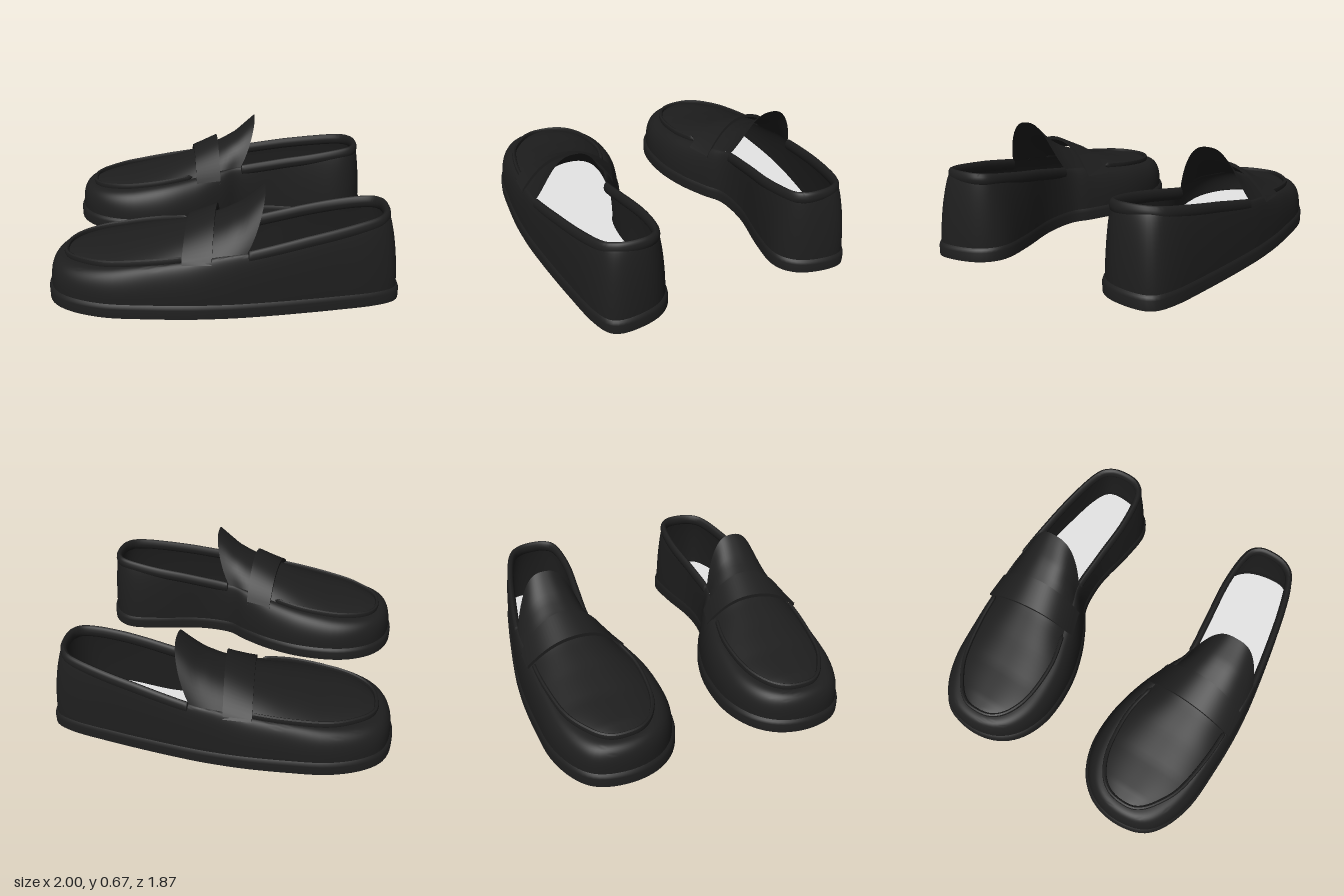
import * as THREE from 'three';
import { toCreasedNormals } from 'three/addons/utils/BufferGeometryUtils.js';

const leather = new THREE.MeshStandardMaterial({ color: 0x1e1e1e, side: THREE.DoubleSide });
leather.name = 'black leather';
const lining = new THREE.MeshStandardMaterial({ color: 0xe6e6e6, side: THREE.DoubleSide });
lining.name = 'pale insole';

// Rows run toe, inner side, heel, outer side: base x, z then rim x, z
const rows = [
  [-1, .54, -.89, .55], [-.957, .365, -.87, .44], [-.84, .238, -.79, .355], [-.65, .167, -.64, .30],
  [-.4, .168, -.4, .29], [-.18, .225, -.18, .34], [0, .31, 0, .39], [.13, .385, .13, .425],
  [.35, .40, .35, .412], [.62, .355, .62, .392], [.83, .343, .83, .41], [.95, .425, .905, .465],
  [1, .58, .92, .565], [.985, .72, .897, .66], [.86, .79, .825, .725], [.62, .84, .62, .785],
  [.35, .885, .35, .835], [.13, .915, .13, .865], [0, .927, 0, .87], [-.18, .935, -.18, .86],
  [-.4, .93, -.4, .845], [-.65, .91, -.64, .80], [-.85, .838, -.79, .72], [-.965, .725, -.87, .64],
];
const loop = i => new THREE.CatmullRomCurve3(rows.map(r => new THREE.Vector3(r[i], 0, r[i + 1])), true, 'catmullrom');
const base = loop(0), rim = loop(2);
const END = 7 / 24; // loop position where the vamp meets the opening

// Interpolates a height table
function at(table, x) {
  for (let i = 1; i < table.length; i++) {
    const [x0, y0] = table[i - 1], [x1, y1] = table[i];
    if (x <= x1 || i === table.length - 1) return y0 + (y1 - y0) * Math.max(0, (x - x0) / (x1 - x0));
  }
}
const rimY = x => at([[-.9, .245], [-.6, .272], [-.2, .325], [0, .36], [.13, .375], [.45, .44], [.75, .492], [.92, .518]], x);
const crownY = x => at([[-.9, .245], [-.8, .27], [-.6, .30], [-.4, .35], [-.2, .41], [0, .49], [.1, .55], [.23, .67]], x);

// Grid surface from a rule (u, v) -> [x, y, z], both from 0 to 1
function surface(nu, nv, rule) {
  const pos = [], idx = [];
  for (let i = 0; i <= nu; i++) for (let j = 0; j <= nv; j++) {
    pos.push(...rule(i / nu, j / nv));
    if (i < nu && j < nv) {
      const a = i * (nv + 1) + j, b = a + nv + 1;
      idx.push(a, b, a + 1, b, b + 1, a + 1);
    }
  }
  const g = new THREE.BufferGeometry();
  g.setAttribute('position', new THREE.Float32BufferAttribute(pos, 3));
  g.setIndex(idx);
  return toCreasedNormals(g, 0.7);
}

// Base outline scaled about the sole centre
function outline(t, kx, kz, y) {
  const p = base.getPoint(t % 1);
  return [p.x * kx, y, .6 + (p.z - .6) * kz];
}

const soleLevels = [[0, 0, 0], [1, 1, 0], [1, 1, .055], [.994, .988, .07], [.98, .96, .082]];
const soleRule = (u, v) => outline(u, ...soleLevels[Math.round(v * 4)]);
const insoleRule = (u, v) => outline(u, v * .965, v * .95, .08);

// Wall curves from the sole up and over to the rim, fuller at the toe than at the heel
function upperRule(u, v) {
  const [bx, , bz] = outline(u, .984, .966, 0), r = rim.getPoint(u % 1);
  const n = 2 / at([[-.9, 2.8], [-.5, 2.3], [0, 2.1], [.9, 1.6]], bx), a = v * Math.PI / 2;
  const rise = v === 1 ? 1 : Math.sin(a) ** n, inward = v === 1 ? 1 : 1 - Math.cos(a) ** n;
  return [bx + (r.x - bx) * inward, .07 + (rimY(r.x) - .08) * rise, bz + (r.z - bz) * inward];
}

// Arched vamp that rises into the tongue
function vampRule(u, v) {
  const p = rim.getPoint(u * END), q = rim.getPoint((1 - u * END) % 1), w = Math.abs(2 * v - 1);
  const x = p.x + (q.x - p.x) * v;
  const tip = x + .1 * THREE.MathUtils.smoothstep(x, -.08, .13) * (1 - w ** 3.5);
  const edge = rimY(x) - .01;
  return [tip, edge + (crownY(tip) - edge) * (1 - w ** 2.6), p.z + (q.z - p.z) * v];
}

// Oval bead along the rim between two loop positions
function bead(t0, t1, rx, ry, lift) {
  return (u, v) => {
    const t = (t0 + (t1 - t0) * u + 1) % 1, p = rim.getPoint(t), d = rim.getTangent(t);
    const a = v * Math.PI * 2, size = Math.min(1, Math.min(u, 1 - u) * 100);
    const c = Math.cos(a) * rx * size;
    return [p.x + d.z * c, rimY(p.x) + lift + Math.sin(a) * ry * size, p.z - d.x * c];
  };
}

// Saddle strap arching across the vamp
function strapRule(u, v) {
  const k = Math.round(v * 4) % 4, back = k === 1 || k === 2, under = k > 1 ? .022 : 0;
  const arch = 1 - Math.abs(2 * u - 1) ** 2.2;
  const z0 = back ? .335 : .285, foot = .295 + .035 * u;
  const x = (back ? -.01 : -.17) - .05 * u;
  return [x, foot + ((back ? .53 : .452) - foot) * arch - under, z0 + (.895 - z0) * u];
}

function shoe(side, name) {
  const group = new THREE.Group();
  group.name = name;
  const add = (part, mat, nu, nv, rule) => {
    const geo = surface(nu, nv, (u, v) => {
      const [x, y, z] = rule(u, v);
      return [x, y, z * side];
    });
    const mesh = new THREE.Mesh(geo, mat);
    mesh.name = part;
    group.add(mesh);
  };
  add('sole', leather, 120, 4, soleRule);
  add('insole', lining, 120, 1, insoleRule);
  add('upper', leather, 120, 16, upperRule);
  add('vampAndTongue', leather, 48, 28, vampRule);
  add('apronSeam', leather, 80, 8, bead(-4.9 / 24, 4.9 / 24, .013, .02, .002));
  add('collar', leather, 100, 12, bead(6.95 / 24, 17.05 / 24, .021, .037, -.036));
  add('strap', leather, 32, 4, strapRule);
  return group;
}

export function createModel() {
  const pair = new THREE.Group();
  pair.name = 'loafers';
  pair.add(shoe(1, 'frontShoe'), shoe(-1, 'backShoe'));
  return pair;
}
